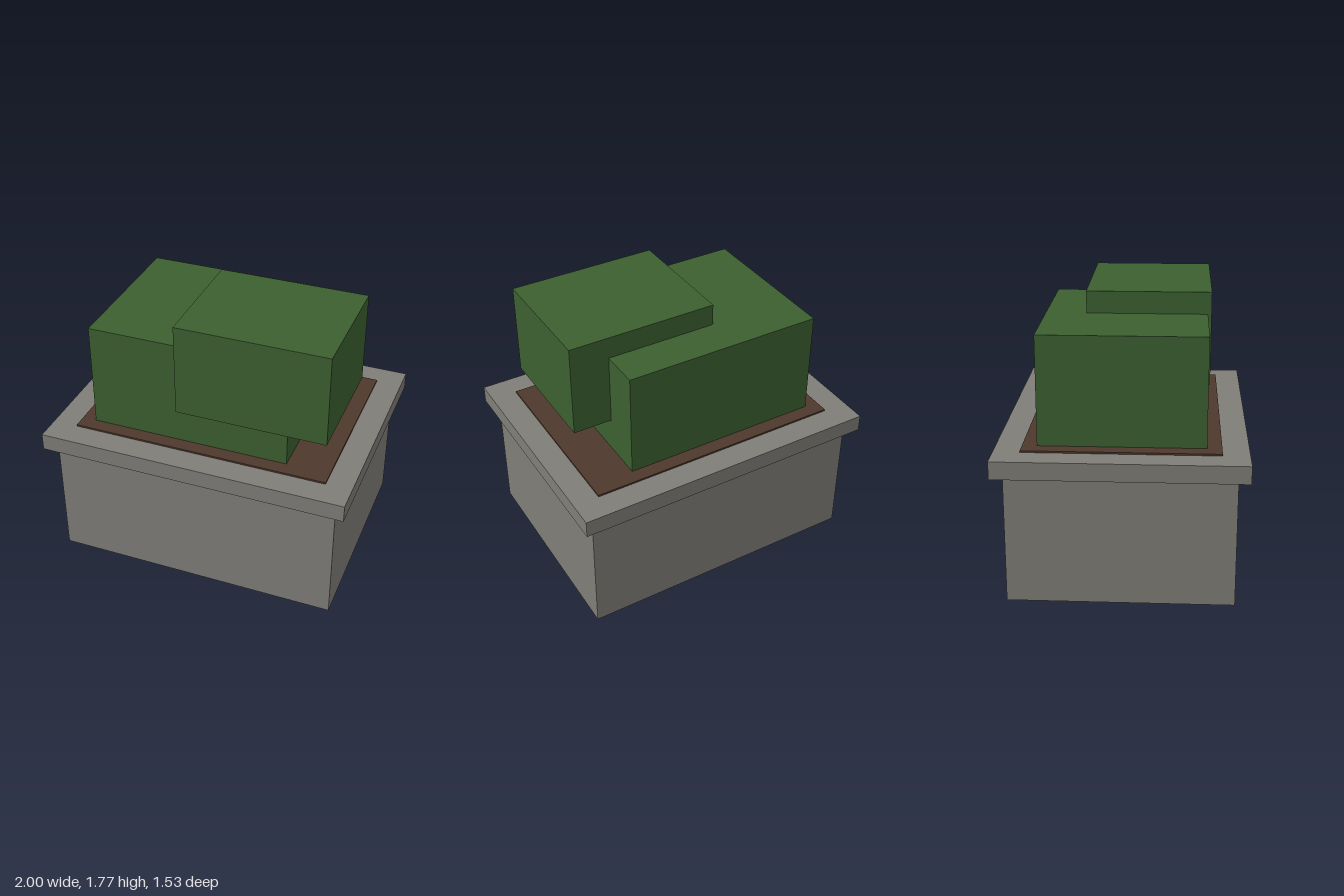
import * as THREE from 'three';

const material = (color) => new THREE.MeshStandardMaterial({ color, flatShading: true });

// Axis-aligned block given by its [min, max] extent on each axis
function block(name, mat, [x0, x1], [y0, y1], [z0, z1]) {
  const mesh = new THREE.Mesh(new THREE.BoxGeometry(x1 - x0, y1 - y0, z1 - z0), mat);
  mesh.name = name;
  mesh.position.set((x0 + x1) / 2, (y0 + y1) / 2, (z0 + z1) / 2);
  return mesh;
}

export function createModel() {
  const stone = material(0x807e78);
  const soil = material(0x4e382b);
  const leaves = material(0x3c6030);

  const model = new THREE.Group();
  model.name = 'planter';
  model.add(
    // Stone box with an overhanging rim
    block('planterBody', stone, [-0.93, 0.93], [0, 0.82], [-0.697, 0.697]),
    block('planterRim', stone, [-1, 1], [0.82, 0.932], [-0.767, 0.767]),
    // Thin bed of soil
    block('soil', soil, [-0.835, 0.835], [0.932, 0.943], [-0.603, 0.603]),
    // Two overlapping blocks of foliage
    block('lowerBush', leaves, [-0.743, 0.557], [0.943, 1.629], [-0.512, 0.512]),
    block('upperBush', leaves, [-0.165, 0.81], [1.166, 1.77], [-0.255, 0.535]),
  );
  return model;
}
